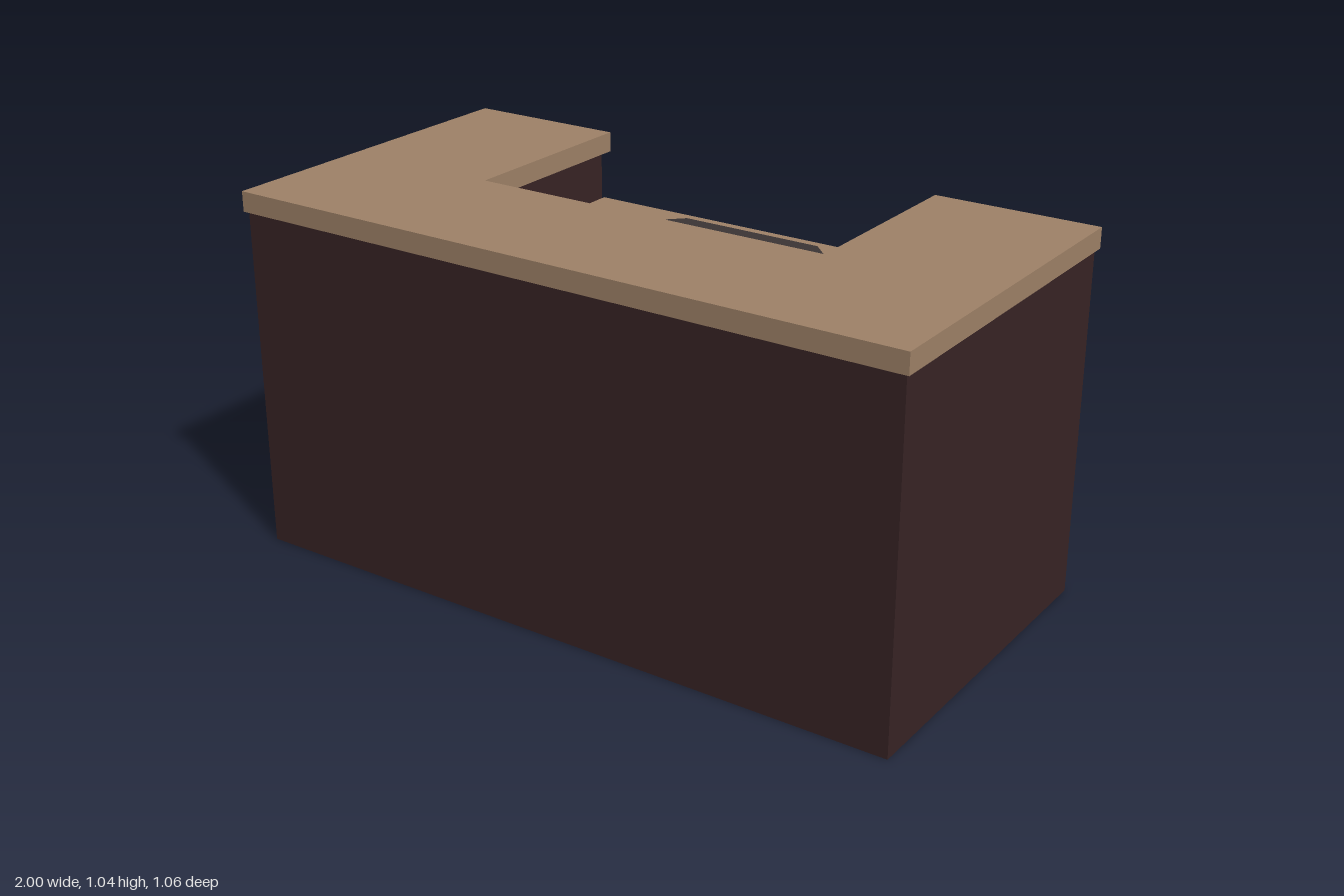
import * as THREE from 'three';

export function createModel() {
  const model = new THREE.Group();
  model.name = 'kitchenIsland';

  const material = (name, color) => {
    const m = new THREE.MeshStandardMaterial({ color });
    m.name = name;
    return m;
  };
  const darkWood = material('dark wood', 0x382425);
  const lightWood = material('light wood', 0x9f8268);
  const blackGlass = material('black glass', 0x3b3535);
  const steel = material('steel', 0xa2a2a2);

  // Box given by its extents on each axis
  const box = (name, mat, [x0, x1], [y0, y1], [z0, z1], parent = model) => {
    const mesh = new THREE.Mesh(new THREE.BoxGeometry(x1 - x0, y1 - y0, z1 - z0), mat);
    mesh.position.set((x0 + x1) / 2, (y0 + y1) / 2, (z0 + z1) / 2);
    mesh.name = name;
    parent.add(mesh);
    return mesh;
  };

  // Horizontal slab from an outline of [x, z] points
  const slab = (name, mat, outline, y0, y1) => {
    const shape = new THREE.Shape(outline.map(([x, z]) => new THREE.Vector2(x, -z)));
    const geo = new THREE.ExtrudeGeometry(shape, { depth: y1 - y0, bevelEnabled: false });
    geo.rotateX(-Math.PI / 2);
    const mesh = new THREE.Mesh(geo, mat);
    mesh.position.y = y0;
    mesh.name = name;
    model.add(mesh);
  };

  // Cabinet body: tall front block and lower cooker block behind it
  box('frontBody', darkWood, [-0.99, 0.99], [0, 0.98], [0.1, 0.52]);
  box('cookerBody', darkWood, [-0.555, 0.555], [0, 0.78], [-0.475, 0.1]);

  // Open shelf towers on both sides of the cooker
  for (const side of [-1, 1]) {
    const tower = new THREE.Group();
    tower.name = side > 0 ? 'leftShelfTower' : 'rightShelfTower';
    const span = (a, b) => (side > 0 ? [a, b] : [-b, -a]);
    const depth = [-0.475, 0.1];
    box('outerPanel', darkWood, span(0.97, 0.99), [0, 0.98], depth, tower);
    box('innerPanel', darkWood, span(0.555, 0.575), [0, 0.98], depth, tower);
    box('towerBase', darkWood, span(0.575, 0.97), [0, 0.05], depth, tower);
    for (const y of [0.32, 0.665]) {
      box('shelf', darkWood, span(0.575, 0.97), [y, y + 0.027], [-0.47, 0.1], tower);
    }
    model.add(tower);
  }

  // U-shaped worktop, open at the back
  slab('worktop', lightWood, [
    [-1, 0.53], [1, 0.53], [1, -0.485], [0.53, -0.485],
    [0.53, 0.09], [-0.53, 0.09], [-0.53, -0.485], [-1, -0.485],
  ], 0.98, 1.037);

  // Lower worktop with the hob on it
  box('lowerWorktop', lightWood, [-0.555, 0.555], [0.78, 0.835], [-0.485, 0.1]);
  const half = [[0.06, 0.06], [0.18, 0.03], [0.305, -0.02], [0.375, -0.1], [0.405, -0.23], [0.215, -0.42]];
  const mirrored = half.map(([x, z]) => [-x, z]).reverse();
  slab('hob', blackGlass, [...half, ...mirrored], 0.835, 0.851);

  // Towel rail on the cooker side
  box('railBar', steel, [-0.47, 0.465], [0.689, 0.709], [-0.533, -0.512]);
  for (const x of [-0.3, 0.293]) {
    box('railPost', steel, [x - 0.007, x + 0.007], [0.692, 0.706], [-0.513, -0.474]);
  }

  return model;
}
